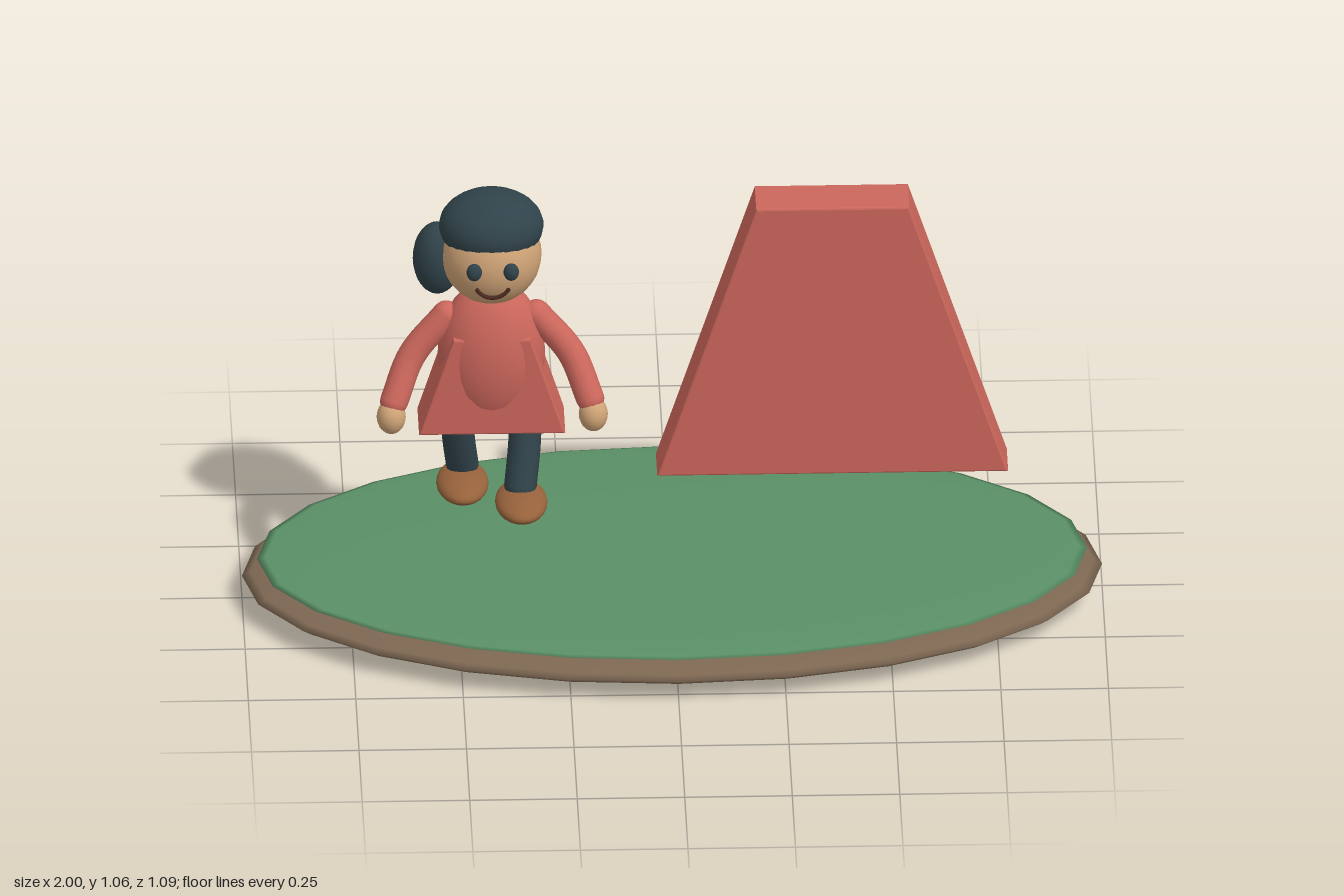
import * as THREE from 'three';

const mat = (color) => new THREE.MeshStandardMaterial({ color, side: THREE.DoubleSide });
const red = mat(0xcc675c), green = mat(0x5a9066), earth = mat(0x7d6752), skin = mat(0xd0a477);
const dark = mat(0x30434a), shoeBrown = mat(0x96623b), lip = mat(0x4a2a20);

function add(parent, name, geometry, material, position = [0, 0, 0]) {
  const mesh = new THREE.Mesh(geometry, material);
  mesh.name = name;
  mesh.position.set(...position);
  parent.add(mesh);
  return mesh;
}

// Sphere stretched to the given radii
function ellipsoid(parent, name, material, position, radii, w = 24, h = 16, thetaLength = Math.PI) {
  const g = new THREE.SphereGeometry(1, w, h, 0, Math.PI * 2, 0, thetaLength).scale(...radii);
  return add(parent, name, g, material, position);
}

// Upright trapezoid slab with a fine bevel, standing on its local y = 0
function slab(parent, name, material, position, bottomHalf, topLeft, topRight, height, depth) {
  const b = 0.005;
  const shape = new THREE.Shape();
  shape.moveTo(-bottomHalf, 0);
  shape.lineTo(bottomHalf, 0);
  shape.lineTo(topRight, height);
  shape.lineTo(topLeft, height);
  shape.closePath();
  const g = new THREE.ExtrudeGeometry(shape, {
    depth: depth - 2 * b, bevelThickness: b, bevelSize: b, bevelOffset: -b, bevelSegments: 2,
  });
  g.translate(0, 0, -depth / 2 + b);
  return add(parent, name, g, material, position);
}

// Round limb through a few points, with rounded ends
function limb(parent, name, material, points, radius) {
  const group = new THREE.Group();
  group.name = name;
  const pts = points.map((p) => new THREE.Vector3(...p));
  const curve = new THREE.CatmullRomCurve3(pts);
  add(group, name + 'Tube', new THREE.TubeGeometry(curve, 14, radius, 14), material);
  for (const p of [points[0], points[points.length - 1]]) {
    ellipsoid(group, name + 'End', material, p, [radius, radius, radius], 14, 10);
  }
  parent.add(group);
}

function createDoll() {
  const doll = new THREE.Group();
  doll.name = 'doll';

  // Head, hair and side ponytail
  ellipsoid(doll, 'head', skin, [0, 0.905, 0], [0.117, 0.12, 0.109]);
  ellipsoid(doll, 'hairCap', dark, [0, 0.975, -0.01], [0.122, 0.084, 0.109], 24, 12, Math.PI * 0.62);
  ellipsoid(doll, 'ponytail', dark, [-0.125, 0.88, -0.03], [0.057, 0.09, 0.06]);

  // Smile
  const smile = new THREE.TorusGeometry(0.042, 0.005, 8, 16, Math.PI * 0.7);
  smile.rotateZ(Math.PI * 1.15);
  add(doll, 'mouth', smile, lip, [0, 0.888, 0.108]);

  // Body and flared dress
  ellipsoid(doll, 'torso', red, [0, 0.645, 0], [0.125, 0.19, 0.09]);
  slab(doll, 'dress', red, [0, 0.463, 0], 0.17, -0.09, 0.09, 0.25, 0.14);

  for (const s of [-1, 1]) {
    const side = s > 0 ? 'left' : 'right';
    ellipsoid(doll, side + 'Eye', dark, [s * 0.043, 0.913, 0.107], [0.018, 0.022, 0.014], 16, 12);
    limb(doll, side + 'Arm', red,
      [[s * 0.105, 0.745, 0], [s * 0.185, 0.65, 0.018], [s * 0.228, 0.55, 0.06]], 0.033);
    ellipsoid(doll, side + 'Hand', skin, [s * 0.235, 0.515, 0.07], [0.034, 0.042, 0.036], 18, 12);

    // Striding legs: the left one is forward
    const foot = s > 0 ? 0.055 : -0.052;
    limb(doll, side + 'Leg', dark,
      [[s * 0.08, 0.5, 0], [s * 0.076, 0.41, foot * 0.45], [s * 0.066, 0.32, foot]], 0.038);
    ellipsoid(doll, side + 'Shoe', shoeBrown, [s * 0.067, 0.291, s > 0 ? 0.08 : -0.017], [0.061, 0.03, 0.1]);
  }
  doll.position.x = -0.42;
  return doll;
}

export function createModel() {
  const model = new THREE.Group();
  model.name = 'dollScene';

  // Oval ground with a grassy top
  ellipsoid(model, 'earthBase', earth, [0, 0.061, 0], [1, 0.058, 0.545]);
  ellipsoid(model, 'grassTop', green, [0, 0.105, 0], [0.965, 0.018, 0.52]);

  // Large tapered panel
  slab(model, 'taperedPanel', red, [0.372, 0.34, 0], 0.408, -0.178, 0.178, 0.703, 0.117);

  model.add(createDoll());
  return model;
}
